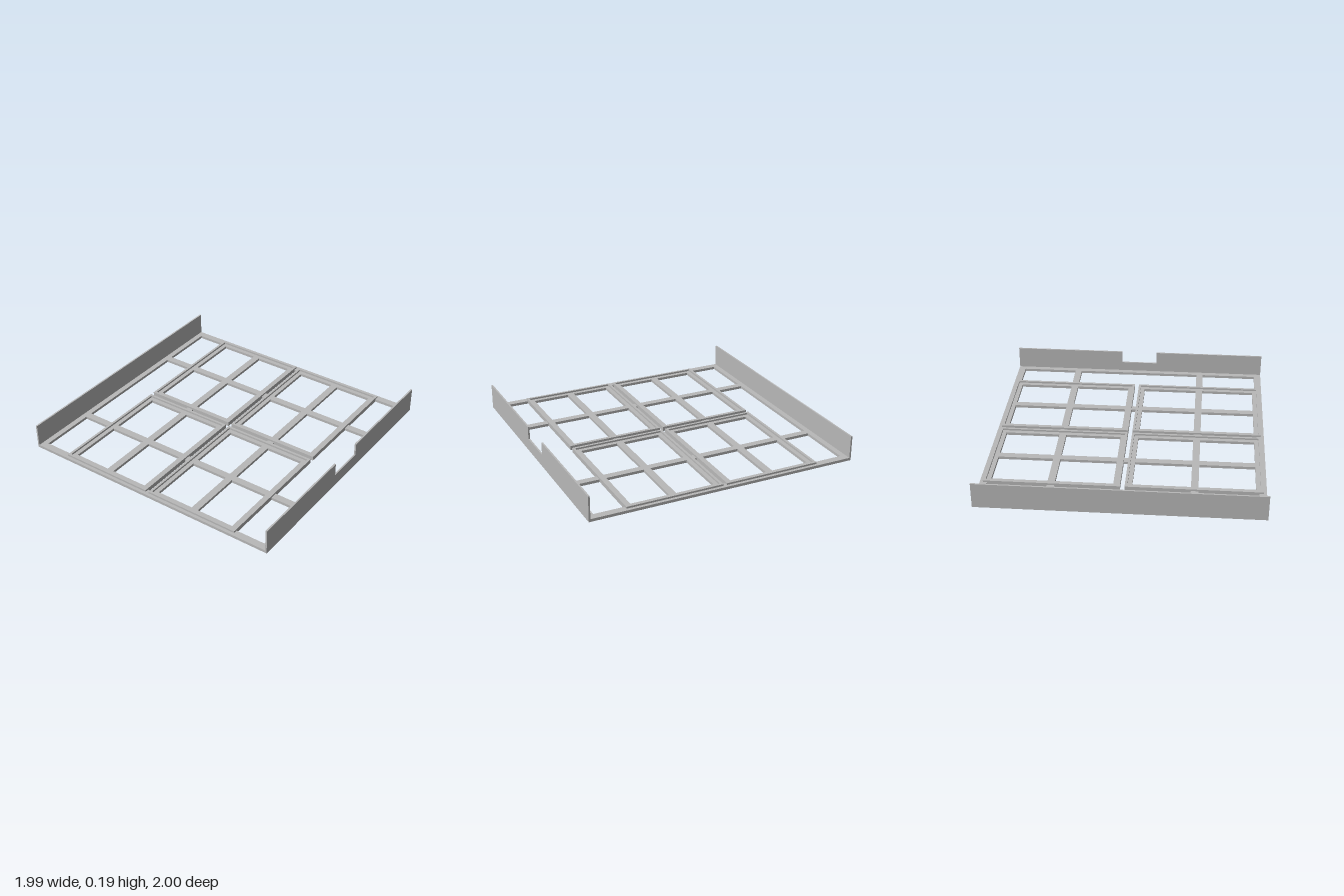
import * as THREE from 'three';

const grey = new THREE.MeshStandardMaterial({ color: 0xb8b8b8 });
grey.name = 'grey';

const W = 0.995, D = 1.0;      // half width and half depth
const BASE = 0.02;             // grid thickness
const BAR = 0.052;             // bar width
const WALL = 0.012;            // end wall thickness

export function createModel() {
  const model = new THREE.Group();

  function add(name, geometry, x = 0, y = 0, z = 0) {
    const mesh = new THREE.Mesh(geometry, grey);
    mesh.name = name;
    mesh.position.set(x, y, z);
    model.add(mesh);
    return mesh;
  }

  function rectangle(target, w, h) {
    target.moveTo(-w / 2, -h / 2);
    target.lineTo(w / 2, -h / 2);
    target.lineTo(w / 2, h / 2);
    target.lineTo(-w / 2, h / 2);
    target.closePath();
    return target;
  }

  // Flat rectangular ring lying on the ground plane, rising from y = 0
  function ring(w, d, border, height) {
    const shape = rectangle(new THREE.Shape(), w, d);
    shape.holes.push(rectangle(new THREE.Path(), w - 2 * border, d - 2 * border));
    return new THREE.ExtrudeGeometry(shape, { depth: height, bevelEnabled: false }).rotateX(-Math.PI / 2);
  }

  // Outer frame and the bars of the grid
  add('baseFrame', ring(2 * W, 2 * D, 0.053, BASE));
  for (const s of [-1, 1]) {
    add('lengthBar', new THREE.BoxGeometry(BAR, BASE, 2 * D - 0.1), s * 0.499, BASE / 2, 0);
    add('crossBar', new THREE.BoxGeometry(2 * W - 0.1, BASE, BAR), 0, BASE / 2, s * 0.371);
  }

  // Four tray borders, each with a raised outer rim
  const trayW = 0.956, trayD = 0.714;
  for (const sx of [-1, 1]) {
    for (const sz of [-1, 1]) {
      const x = sx * 0.494, z = sz * 0.371;
      add('trayBorder', ring(trayW, trayD, 0.05, BASE), x, 0, z);
      add('trayRim', ring(trayW, trayD, 0.018, 0.033 - BASE), x, BASE, z);
    }
  }

  // End walls: plain at the back, notched at the front
  const height = 0.187;
  add('backWall', new THREE.BoxGeometry(2 * W, height, WALL), 0, height / 2, -D + WALL / 2);
  const notched = new THREE.Shape([
    [-W, 0], [W, 0], [W, height], [0.141, height],
    [0.141, 0.092], [-0.141, 0.092], [-0.141, height], [-W, height],
  ].map(([x, y]) => new THREE.Vector2(x, y)));
  add('frontWall', new THREE.ExtrudeGeometry(notched, { depth: WALL, bevelEnabled: false }), 0, 0, D - WALL);

  return model;
}
